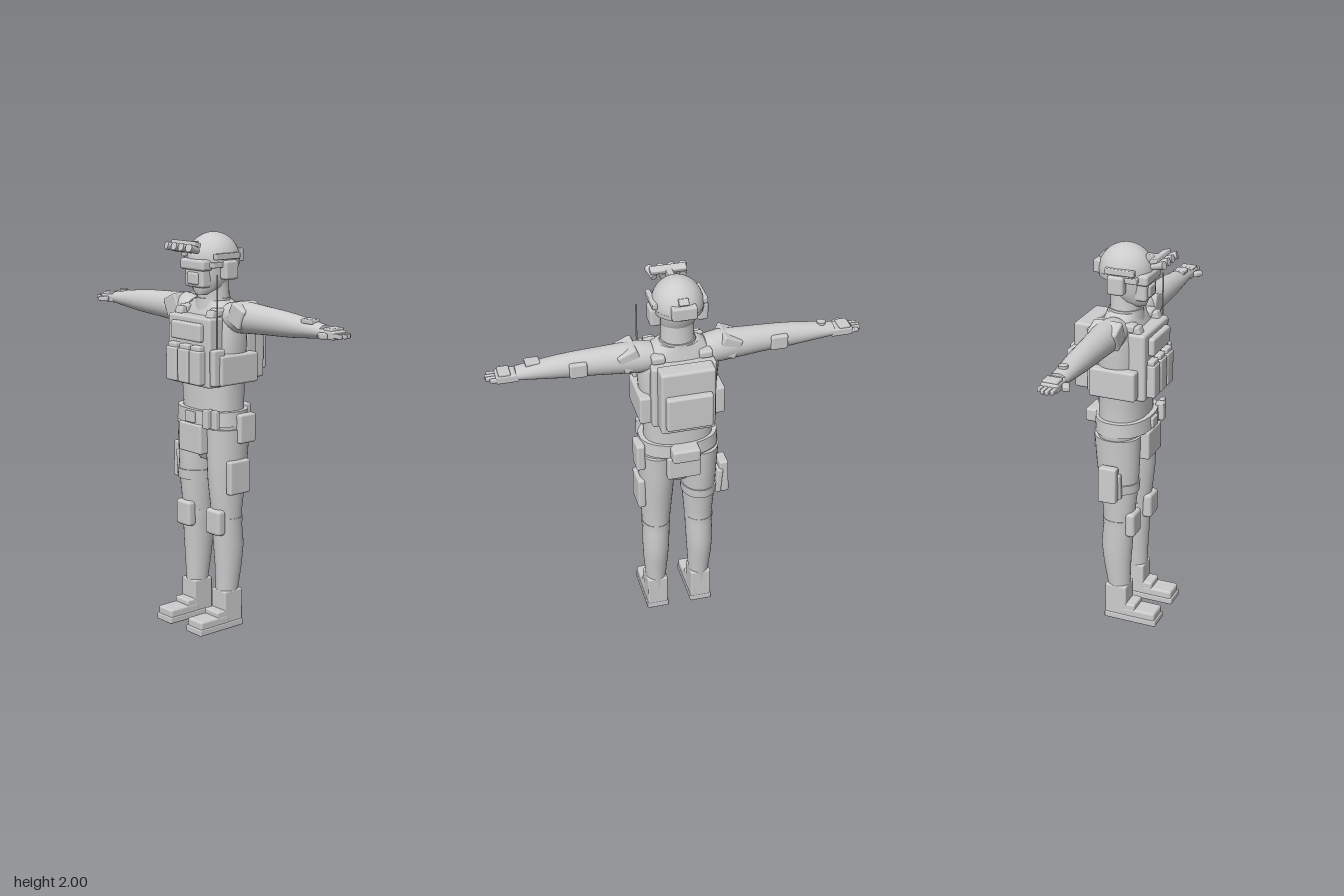
import * as THREE from 'three';
import { RoundedBoxGeometry } from 'three/addons/geometries/RoundedBoxGeometry.js';

const grey = new THREE.MeshStandardMaterial({ color: 0xcccccc });
grey.name = 'plain grey';

// Closed tube through elliptical rings [y, centreX, centreZ, radiusX, radiusZ]
function loft(rings, power = 1, n = 32) {
  const first = rings[0], last = rings[rings.length - 1];
  const flat = r => [r[0], r[1], r[2], 0, 0];
  const all = [flat(first), first, null, ...rings, null, last, flat(last)];
  const pos = [], idx = [];
  const soft = v => Math.sign(v) * Math.pow(Math.abs(v), power);
  let row = 0, joined = false;
  for (const r of all) {
    if (!r) { joined = false; continue; }
    for (let j = 0; j < n; j++) {
      const t = j / n * Math.PI * 2;
      pos.push(r[1] + r[3] * soft(Math.cos(t)), r[0], r[2] + r[4] * soft(Math.sin(t)));
      if (joined) {
        const k = (j + 1) % n, a = (row - 1) * n + j, b = (row - 1) * n + k, c = row * n + j, d = row * n + k;
        idx.push(a, c, d, a, d, b);
      }
    }
    joined = true;
    row++;
  }
  const g = new THREE.BufferGeometry();
  g.setAttribute('position', new THREE.Float32BufferAttribute(pos, 3));
  g.setIndex(idx);
  g.computeVertexNormals();
  return g;
}

export function createModel() {
  const model = new THREE.Group();
  model.name = 'soldier';

  const add = (name, geo, parent = model) => {
    const m = new THREE.Mesh(geo, grey);
    m.name = name;
    parent.add(m);
    return m;
  };
  // Bevelled box given by its limits on each axis
  const box = (name, x0, x1, y0, y1, z0, z1, r = 0.008, parent = model) => {
    const w = x1 - x0, h = y1 - y0, d = z1 - z0;
    const m = add(name, new RoundedBoxGeometry(w, h, d, 2, Math.min(r, w / 3, h / 3, d / 3)), parent);
    m.position.set((x0 + x1) / 2, (y0 + y1) / 2, (z0 + z1) / 2);
    return m;
  };
  // The same box on side s (+1 left, -1 right)
  const sideBox = (name, s, x0, x1, ...rest) =>
    s > 0 ? box(name, x0, x1, ...rest) : box(name, -x1, -x0, ...rest);

  // Torso, pelvis and neck
  add('torso', loft([
    [1.04, 0, 0.01, 0.18, 0.12], [1.15, 0, 0.01, 0.172, 0.122], [1.25, 0, 0.01, 0.182, 0.12],
    [1.4, 0, 0.01, 0.195, 0.12], [1.53, 0, 0.01, 0.205, 0.115], [1.6, 0, 0.01, 0.195, 0.1],
    [1.64, 0, 0.005, 0.155, 0.085], [1.67, 0, 0.005, 0.1, 0.08]], 0.85));
  add('pelvis', loft([
    [0.865, 0, 0.01, 0.055, 0.07], [0.91, 0, 0.01, 0.09, 0.1], [0.97, 0, 0.01, 0.17, 0.11],
    [1.03, 0, 0.01, 0.205, 0.12], [1.08, 0, 0.01, 0.2, 0.12]], 0.9));
  add('neck', loft([[1.6, 0, 0.005, 0.1, 0.085], [1.68, 0, 0.01, 0.082, 0.078], [1.8, 0, 0.015, 0.078, 0.08]]));
  add('collar', loft([[1.61, 0, 0.01, 0.1, 0.09], [1.68, 0, 0.01, 0.088, 0.085]]));

  // Head and helmet
  add('head', loft([
    [1.7, 0, 0.07, 0.04, 0.045], [1.73, 0, 0.045, 0.075, 0.08], [1.78, 0, 0.025, 0.092, 0.1],
    [1.85, 0, 0.02, 0.1, 0.115], [1.92, 0, 0.02, 0.1, 0.11]]));
  const dome = add('helmet', new THREE.SphereGeometry(1, 40, 20, 0, Math.PI * 2, 0, Math.PI * 0.53));
  dome.scale.set(0.125, 0.135, 0.135);
  dome.position.set(0, 1.865, 0.01);
  add('helmetRim', loft([[1.84, 0, 0.01, 0.122, 0.132], [1.865, 0, 0.01, 0.126, 0.136]]));
  box('helmetBattery', -0.06, 0.06, 1.85, 1.915, -0.14, -0.09);
  const patch = box('helmetTab', -0.025, 0.025, 1.925, 1.94, -0.125, -0.09, 0.004);
  patch.rotation.x = -0.9;
  box('goggles', -0.09, 0.09, 1.82, 1.875, 0.085, 0.155, 0.015);
  box('faceMask', -0.07, 0.07, 1.735, 1.835, 0.06, 0.14, 0.015);
  box('maskFront', -0.04, 0.04, 1.75, 1.81, 0.12, 0.15, 0.01);
  for (const s of [1, -1]) {
    sideBox('helmetRail', s, 0.11, 0.135, 1.875, 1.905, -0.05, 0.105, 0.005);
    sideBox('earCup', s, 0.09, 0.143, 1.775, 1.87, -0.035, 0.05, 0.014);
    sideBox('goggleStrap', s, 0.085, 0.12, 1.835, 1.862, 0.03, 0.11, 0.005);
  }

  // Raised four-tube viewer
  const viewer = new THREE.Group();
  viewer.name = 'viewer';
  viewer.position.set(0, 1.937, 0.198);
  viewer.rotation.x = -0.3;
  model.add(viewer);
  box('viewerBar', -0.09, 0.09, 0.008, 0.03, -0.03, 0.012, 0.005, viewer);
  [-0.078, -0.027, 0.027, 0.078].forEach((x, i) => {
    const tube = add('viewerTube', new THREE.CylinderGeometry(0.02, 0.016, 0.07, 16), viewer);
    tube.rotation.x = Math.PI / 2;
    tube.rotation.z = i === 0 ? 0.2 : i === 3 ? -0.2 : 0;
    tube.position.set(x, -0.008, 0.005);
  });
  box('viewerMount', -0.016, 0.016, 1.915, 1.96, 0.115, 0.185, 0.005);

  // Vest with pouches and pack
  box('frontPlate', -0.16, 0.16, 1.255, 1.6, 0.08, 0.172, 0.014);
  box('backPlate', -0.16, 0.16, 1.265, 1.6, -0.135, -0.07, 0.014);
  box('chestPouch', -0.11, 0.115, 1.48, 1.57, 0.16, 0.2, 0.012);
  for (const x of [-0.09, 0, 0.087]) {
    box('magazinePouch', x - 0.04, x + 0.04, 1.27, 1.44, 0.16, 0.213, 0.01);
    box('magazineFlap', x - 0.034, x + 0.034, 1.42, 1.462, 0.165, 0.205, 0.008);
  }
  box('backpack', -0.135, 0.135, 1.27, 1.61, -0.212, -0.12, 0.014);
  box('backpackPocket', -0.115, 0.115, 1.305, 1.487, -0.245, -0.2, 0.012);
  for (const s of [1, -1]) {
    sideBox('sidePouch', s, 0.155, 0.215, 1.27, 1.42, -0.1, 0.14, 0.012);
    sideBox('shoulderStrap', s, 0.085, 0.15, 1.6, 1.64, -0.1, 0.11, 0.012);
    const strap = sideBox('strapFront', s, 0.09, 0.145, 1.55, 1.63, 0.085, 0.145, 0.01);
    strap.rotation.x = -0.3;
  }
  box('radio', 0.16, 0.2, 1.27, 1.45, 0.1, 0.175, 0.01);
  const antenna = add('antenna', new THREE.CylinderGeometry(0.004, 0.004, 0.4, 8));
  antenna.position.set(0.172, 1.61, 0.133);

  // Belt and hip gear
  add('belt', loft([[1.057, 0, 0.015, 0.205, 0.145], [1.13, 0, 0.015, 0.2, 0.142]], 0.9));
  box('buckle', -0.035, 0.035, 1.065, 1.12, 0.145, 0.17, 0.006);
  for (const x of [0.12, 0.165]) {
    box('beltMagazine', x - 0.02, x + 0.02, 1.05, 1.145, 0.125, 0.17 - (x - 0.12) * 0.4, 0.006);
  }
  box('rearBeltPouch', -0.07, 0.07, 1.06, 1.13, -0.185, -0.11, 0.012);
  box('rearPanel', -0.085, 0.085, 0.93, 1.06, -0.135, -0.09, 0.01);
  box('frontPanel', -0.085, 0.085, 0.91, 1.06, 0.11, 0.168, 0.01);
  box('hipPouch', 0.185, 0.23, 0.97, 1.118, -0.075, 0.03, 0.012);
  box('thighPouch', 0.18, 0.22, 0.712, 0.885, -0.05, 0.085, 0.012);

  // Thigh holster on the right leg
  const holster = box('holster', -0.262, -0.215, 0.722, 0.912, -0.035, 0.06, 0.01);
  holster.rotation.z = -0.03;
  const plate = box('holsterPlate', -0.225, -0.195, 0.73, 0.87, -0.045, 0.07, 0.008);
  plate.rotation.z = 0.08;
  add('thighStrap', loft([[0.745, -0.113, 0.018, 0.091, 0.107], [0.795, -0.113, 0.018, 0.095, 0.11]]));

  for (const s of [1, -1]) {
    // Legs
    add('leg', loft([
      [0.1, s * 0.118, 0.02, 0.052, 0.058], [0.2, s * 0.118, 0.02, 0.054, 0.06], [0.32, s * 0.119, 0.012, 0.064, 0.072],
      [0.43, s * 0.118, 0.01, 0.07, 0.082], [0.53, s * 0.115, 0.017, 0.071, 0.08], [0.62, s * 0.113, 0.02, 0.075, 0.083],
      [0.77, s * 0.112, 0.018, 0.086, 0.102], [0.9, s * 0.11, 0.013, 0.092, 0.112], [1.04, s * 0.11, 0.01, 0.1, 0.118]]));
    sideBox('kneePad', s, 0.062, 0.17, 0.495, 0.628, 0.07, 0.122, 0.02);
    add('kneeStrap', loft([[0.55, s * 0.115, 0.018, 0.074, 0.082], [0.58, s * 0.115, 0.018, 0.075, 0.083]]));

    // Boots
    sideBox('bootShaft', s, 0.065, 0.173, 0.02, 0.197, -0.038, 0.08, 0.008);
    sideBox('bootInstep', s, 0.066, 0.172, 0.02, 0.1, 0.05, 0.128, 0.01);
    sideBox('bootToe', s, 0.064, 0.174, 0.02, 0.073, 0.05, 0.238, 0.012);
    sideBox('bootSole', s, 0.06, 0.178, 0, 0.034, -0.04, 0.245, 0.006);

    // Arms, lofted upright and then laid outwards
    const c = -s;
    const arm = loft([
      [0.13, c * 1.595, 0.005, 0.07, 0.075], [0.2, c * 1.6, 0.005, 0.08, 0.078], [0.28, c * 1.602, 0.006, 0.076, 0.072],
      [0.4, c * 1.603, 0.01, 0.068, 0.066], [0.5, c * 1.603, 0.012, 0.063, 0.06], [0.58, c * 1.602, 0.013, 0.057, 0.057],
      [0.7, c * 1.6, 0.014, 0.043, 0.049], [0.79, c * 1.598, 0.014, 0.031, 0.044]]);
    arm.rotateZ(-s * Math.PI / 2);
    add('arm', arm);
    const pad = sideBox('shoulderPad', s, 0.194, 0.296, 1.562, 1.668, -0.065, 0.085, 0.012);
    pad.rotation.z = -s * 0.42;
    sideBox('elbowPad', s, 0.455, 0.54, 1.565, 1.64, -0.062, -0.03, 0.01);

    // Hands
    sideBox('palm', s, 0.775, 0.885, 1.572, 1.614, -0.03, 0.057, 0.01);
    sideBox('knucklePlate', s, 0.815, 0.873, 1.605, 1.625, -0.025, 0.052, 0.006);
    [0.925, 0.935, 0.932, 0.915].forEach((tip, i) => {
      const z = 0.046 - i * 0.022;
      sideBox('finger', s, 0.87, tip, 1.582, 1.603, z - 0.009, z + 0.009, 0.005);
    });
    const thumb = sideBox('thumb', s, 0.805, 0.86, 1.578, 1.603, 0.055, 0.09, 0.007);
    thumb.rotation.y = -s * 0.5;
  }

  // Wrist gear
  box('wristDevice', 0.67, 0.74, 1.628, 1.65, -0.005, 0.055, 0.006);
  const watch = add('watch', new THREE.CylinderGeometry(0.022, 0.022, 0.014, 20));
  watch.position.set(-0.73, 1.64, 0.014);

  return model;
}
